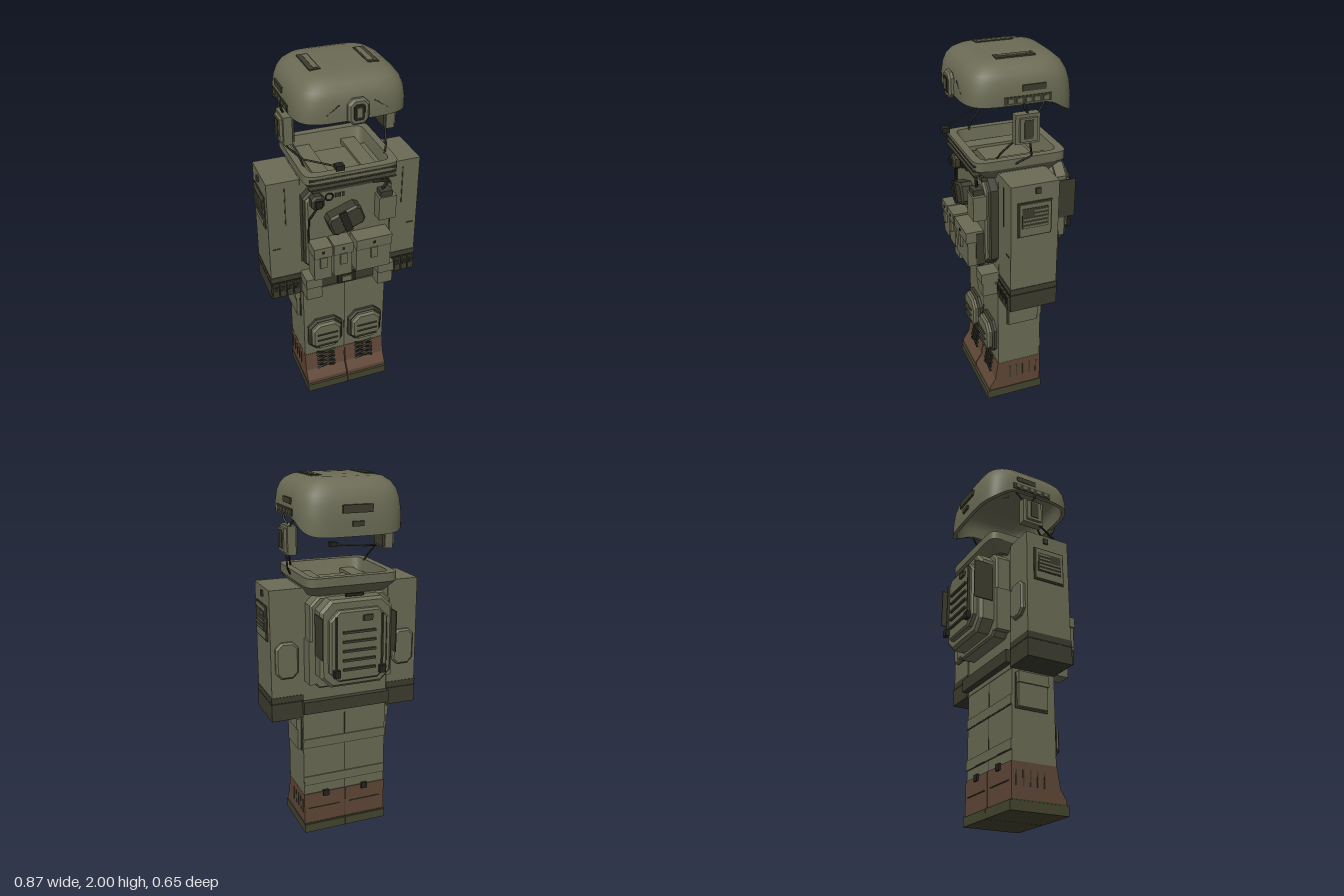
import * as THREE from 'three';
import { toCreasedNormals } from 'three/addons/utils/BufferGeometryUtils.js';

const mat = (name, color) => Object.assign(new THREE.MeshStandardMaterial({ color }), { name });
const olive = mat('olive cloth', 0x6b6b55);
const dark = mat('dark olive', 0x3c3c2e);
const black = mat('near black', 0x24241d);
const brown = mat('brown leather', 0x604737);
const sole = mat('sole olive', 0x45452f);

export function createModel() {
  const root = new THREE.Group();
  root.name = 'soldierOutfit';
  const add = (name, geo, m, parent = root) => {
    const mesh = new THREE.Mesh(geo, m);
    mesh.name = name;
    parent.add(mesh);
    return mesh;
  };
  // box given by its extents
  const box = (name, m, x0, x1, y0, y1, z0, z1) => {
    const b = add(name, new THREE.BoxGeometry(Math.abs(x1 - x0), y1 - y0, z1 - z0), m);
    b.position.set((x0 + x1) / 2, (y0 + y1) / 2, (z0 + z1) / 2);
    return b;
  };
  // plate with cut corners, tapering in toward its front (dir 1) or back (dir -1)
  const plate = (name, m, w, h, d, c, x, y, z, dir = 1, bevel = 0.01) => {
    const a = w / 2 - bevel, b = h / 2 - bevel;
    const s = new THREE.Shape([[a - c, -b], [a, -b + c], [a, b - c], [a - c, b], [c - a, b], [-a, b - c], [-a, c - b], [c - a, -b]]
      .map(p => new THREE.Vector2(...p)));
    const g = new THREE.ExtrudeGeometry(s, { depth: d - bevel, bevelSize: bevel, bevelThickness: bevel, bevelSegments: 1 });
    const p = add(name, g, m);
    p.position.set(x, y, z);
    if (dir < 0) p.rotation.y = Math.PI;
    return p;
  };
  // tube through points, straight pieces
  const wire = (name, pts, r = 0.005) => {
    const path = new THREE.CurvePath();
    const v = pts.map(p => new THREE.Vector3(...p));
    for (let i = 1; i < v.length; i++) path.add(new THREE.LineCurve3(v[i - 1], v[i]));
    return add(name, new THREE.TubeGeometry(path, 24, r, 6), black);
  };
  // loft of rounded-square rings; point(row, sx, sz) gives the position
  const loft = (rows, power, cols, point, crease) => {
    const pos = [], idx = [];
    const f = v => Math.sign(v) * Math.abs(v) ** (2 / power);
    rows.forEach((r, i) => {
      for (let j = 0; j < cols; j++) {
        const t = (j / cols) * Math.PI * 2;
        pos.push(...point(r, f(Math.sin(t)), f(Math.cos(t))));
        if (i === rows.length - 1) continue;
        const a = i * cols + j, b = i * cols + (j + 1) % cols;
        idx.push(a, a + cols, b, b, a + cols, b + cols);
      }
    });
    const g = new THREE.BufferGeometry();
    g.setAttribute('position', new THREE.Float32BufferAttribute(pos, 3));
    g.setIndex(idx);
    return toCreasedNormals(g, crease);
  };

  // helmet shell: outside from crown to rim, then inside back up
  const shell = [[0, 0], [0.3, 0], [0.58, 0.015], [0.72, 0.05], [0.84, 0.15], [0.92, 0.29], [0.97, 0.47], [1, 0.75], [1, 1],
    [0.93, 1], [0.92, 0.7], [0.86, 0.4], [0.7, 0.2], [0.4, 0.12], [0, 0.12]];
  add('helmetShell', loft(shell, 4.6, 64, ([s, t], sx, sz) => {
    const z = sz * 0.283 * s;
    const k = THREE.MathUtils.smoothstep(-sz, 0.35, 1.05);
    return [sx * 0.287 * s, 1.998 - t * (0.2 + 0.085 * k), z + 0.0125];
  }, 0.9), olive);
  // helmet fittings
  plate('goggleMount', olive, 0.105, 0.13, 0.025, 0.02, 0, 1.845, 0.293);
  plate('mountRecess', black, 0.055, 0.08, 0.006, 0.008, 0, 1.845, 0.315, 1, 0.002);
  box('mountLatch', olive, -0.014, 0.014, 1.82, 1.87, 0.318, 0.326);
  box('rearSlot', dark, -0.08, 0.08, 1.83, 1.87, -0.276, -0.26);
  box('rearClip', dark, -0.03, 0.03, 1.765, 1.79, -0.282, -0.262);
  for (const s of [-1, 1]) {
    box('ventPlate', dark, s * 0.118, s * 0.174, 1.985, 2.0, -0.08, 0.12);
    box('ventCover', olive, s * 0.126, s * 0.15, 1.99, 2.002, -0.065, 0.105);
    box('sideSlot', dark, s * 0.27, s * 0.288, 1.862, 1.892, -0.09, 0.03);
    box('sideRail', dark, s * 0.27, s * 0.291, 1.805, 1.842, -0.115, 0.125);
    for (let i = 0; i < 5; i++)
      box('railStud', olive, s * 0.28, s * 0.295, 1.813, 1.834, -0.1 + i * 0.045, -0.075 + i * 0.045);
    const crease = box('browCrease', dark, -0.04, 0.04, -0.003, 0.003, -0.005, 0.005);
    crease.position.set(s * 0.12, 1.86, 0.288);
    crease.rotation.z = -s * 0.6;

    // headset
    box('earCup', olive, s * 0.25, s * 0.295, 1.6, 1.75, -0.058, 0.068);
    box('earCupSeal', dark, s * 0.238, s * 0.25, 1.61, 1.74, -0.05, 0.06);
    box('earCupCap', olive, s * 0.295, s * 0.31, 1.615, 1.735, -0.04, 0.05);
    box('earCupStrip', dark, s * 0.31, s * 0.314, 1.63, 1.725, -0.018, 0.028);
    wire('headsetArm', [[s * 0.275, 1.75, 0], [s * 0.29, 1.78, 0.02], [s * 0.275, 1.84, 0.03]], 0.006);
    wire('rearArm', [[s * 0.28, 1.75, -0.055], [s * 0.27, 1.79, -0.09]]);
    wire('frontCable', [[s * 0.25, 1.6, 0.06], [s * 0.23, 1.54, 0.12], [s * 0.215, 1.5, 0.14]]);
  }
  wire('sideCable', [[0.29, 1.6, -0.01], [0.288, 1.53, -0.02], [0.25, 1.48, 0.05]]);
  wire('microphoneBoom', [[-0.29, 1.6, 0.05], [-0.24, 1.575, 0.18], [-0.11, 1.57, 0.29]]);
  box('microphone', black, -0.115, -0.072, 1.558, 1.584, 0.285, 0.325);

  // collar: flared open frame
  const collar = [[0.215, 0.205, 1.508], [0.252, 0.247, 1.508], [0.252, 0.247, 1.462], [0.215, 0.185, 1.405], [0.2, 0.17, 1.405], [0.215, 0.205, 1.508]];
  add('collarFrame', loft(collar, 11, 48, ([w, d, y], sx, sz) => [sx * w, y, sz * d + 0.013], 0.5), olive);
  for (const y of [1.435, 1.462, 1.487])
    box('collarGroove', dark, -0.23, 0.23, y - 0.004, y + 0.004, 0.225, 0.263);
  box('collarUnderStrip', dark, -0.2, 0.2, 1.385, 1.41, 0.18, 0.212);
  for (const s of [-1, 1]) box('shoulderStrap', olive, s * 0.09, s * 0.17, 1.43, 1.455, -0.17, 0.2);

  // torso and belt
  box('torso', olive, -0.245, 0.245, 0.72, 1.44, -0.11, 0.14);
  box('belt', dark, -0.25, 0.25, 0.745, 0.815, -0.145, 0.165);
  box('buckle', black, -0.052, 0.052, 0.75, 0.81, 0.165, 0.18);
  box('buckleFace', olive, -0.028, 0.028, 0.762, 0.798, 0.18, 0.187);

  // front vest
  plate('vestBorder', dark, 0.49, 0.51, 0.05, 0.05, 0, 1.147, 0.14);
  plate('vestPanel', olive, 0.472, 0.49, 0.062, 0.045, 0, 1.147, 0.145);
  for (const [x0, x1] of [[-0.225, -0.13], [-0.117, -0.017], [0.008, 0.202]]) {
    const c = (x0 + x1) / 2;
    box('magazinePouch', olive, x0, x1, 0.905, 1.1, 0.2, 0.295);
    box('pouchFlap', olive, x0 - 0.003, x1 + 0.003, 1.05, 1.108, 0.198, 0.304);
    box('flapShadow', dark, x0, x1, 1.042, 1.05, 0.2, 0.299);
    box('pouchTab', olive, c - 0.018, c + 0.018, 0.985, 1.05, 0.295, 0.309);
    box('pouchSnap', black, c - 0.006, c + 0.006, 1.075, 1.087, 0.304, 0.308);
    box('pouchDivider', dark, x1, x1 + 0.006, 0.91, 1.095, 0.2, 0.25);
  }
  const kit = plate('medicalPouch', dark, 0.19, 0.12, 0.075, 0.015, -0.037, 1.225, 0.2);
  kit.rotation.z = 0.35;
  const strap = box('medicalStrap', black, -0.02, 0.02, -0.062, 0.062, -0.004, 0.004);
  strap.position.set(-0.045, 1.228, 0.281);
  strap.rotation.z = 0.35;
  plate('talkButton', dark, 0.07, 0.08, 0.05, 0.012, -0.182, 1.345, 0.2);
  box('talkButtonFace', black, -0.2, -0.165, 1.33, 1.365, 0.255, 0.264);
  wire('talkCable', [[-0.18, 1.31, 0.23], [-0.225, 1.24, 0.22], [-0.23, 1.1, 0.215]]);
  const ring = add('carabiner', new THREE.TorusGeometry(0.02, 0.004, 6, 20), black);
  ring.position.set(-0.113, 1.352, 0.215);
  for (let i = 0; i < 3; i++)
    box('chestTape', dark, -0.08 + i * 0.018, -0.068 + i * 0.018, 1.342, 1.365, 0.21, 0.214);
  box('radioPouch', olive, 0.14, 0.235, 1.185, 1.32, 0.2, 0.27);
  box('radio', dark, 0.15, 0.215, 1.3, 1.35, 0.205, 0.262);
  wire('radioCable', [[0.17, 1.35, 0.23], [0.2, 1.4, 0.24], [0.12, 1.4, 0.22]], 0.008);

  for (const s of [-1, 1]) {
    // arm
    box('sleeve', olive, s * 0.246, s * 0.42, 0.85, 1.44, -0.115, 0.14);
    box('glove', dark, s * 0.246, s * 0.423, 0.72, 0.855, -0.118, 0.143);
    box('gloveCuff', black, s * 0.246, s * 0.424, 0.815, 0.823, -0.119, 0.146);
    for (let i = 0; i < 4; i++) {
      const x = 0.262 + i * 0.04;
      box('finger', dark, s * x, s * (x + 0.034), 0.728, 0.81, 0.14, 0.155);
      box('knuckle', black, s * (x + 0.006), s * (x + 0.028), 0.77, 0.8, 0.154, 0.158);
    }
    box('sleeveSeam', dark, s * 0.322, s * 0.328, 1.18, 1.4, 0.138, 0.143);
    box('sleeveFold', dark, s * 0.36, s * 0.4, 1.037, 1.043, 0.138, 0.143);
    box('patchFrame', dark, s * 0.42, s * 0.426, 1.16, 1.35, -0.075, 0.105);
    box('patch', olive, s * 0.42, s * 0.431, 1.168, 1.342, -0.067, 0.097);
    box('patchPanel', dark, s * 0.43, s * 0.434, 1.21, 1.32, -0.055, 0.085);
    for (let i = 0; i < 5; i++)
      box('patchStripe', olive, s * 0.432, s * 0.437, 1.216 + i * 0.021, 1.226 + i * 0.021, -0.05, i < 3 ? 0.08 : 0.02);
    box('shoulderSnap', dark, s * 0.42, s * 0.43, 1.39, 1.42, -0.015, 0.012);
    plate('elbowPad', olive, 0.125, 0.2, 0.025, 0.025, s * 0.335, 1.06, -0.112, -1);

    // hip and thigh pouches
    box('hipPouch', olive, s * 0.163, s * 0.25, 0.73, 0.845, 0.14, 0.232);
    box('hipPouchFlap', olive, s * 0.16, s * 0.253, 0.81, 0.868, 0.14, 0.24);
    box('thighPouch', olive, s * 0.245, s * 0.268, 0.515, 0.69, -0.08, 0.09);
    box('thighFlap', olive, s * 0.245, s * 0.276, 0.64, 0.7, -0.085, 0.095);
    box('thighOutline', dark, s * 0.24, s * 0.25, 0.507, 0.7, -0.089, 0.1);

    // knee pad
    plate('kneePadBase', dark, 0.205, 0.215, 0.03, 0.04, s * 0.122, 0.395, 0.14);
    plate('kneePad', olive, 0.178, 0.188, 0.045, 0.035, s * 0.122, 0.395, 0.15, 1, 0.012);
    for (let i = 0; i < 3; i++)
      box('kneeGroove', dark, s * 0.062, s * 0.182, 0.34 + i * 0.04, 0.344 + i * 0.04, 0.2, 0.209);

    // boot: side profile extruded across
    const profile = new THREE.Shape([[-0.112, 0.045], [0.2, 0.045], [0.2, 0.075], [0.165, 0.13], [0.147, 0.24], [-0.112, 0.24]]
      .map(p => new THREE.Vector2(...p)));
    const boot = add('boot', new THREE.ExtrudeGeometry(profile, { depth: 0.243, bevelEnabled: false }), brown);
    boot.rotation.y = -Math.PI / 2;
    boot.position.x = s > 0 ? 0.246 : -0.003;
    box('bootSole', sole, s * 0.001, s * 0.248, 0, 0.05, -0.122, 0.212);
    box('bootSeam', dark, s * 0.003, s * 0.249, 0.05, 0.056, -0.114, 0.2);
    for (let i = 0; i < 5; i++)
      box('bootSlit', dark, s * 0.24, s * 0.2485, 0.12, 0.2, -0.09 + i * 0.04, -0.082 + i * 0.04);
    for (let i = 0; i < 4; i++) for (const k of [-1, 1]) {
      const y = 0.132 + i * 0.028, z = 0.168 - i * 0.005;
      wire('lace', [[s * 0.12 - k * 0.055, y, z], [s * 0.12 + k * 0.055, y + 0.026, z - 0.004]], 0.006);
    }
    box('heelBuckle', black, s * 0.1, s * 0.135, 0.215, 0.25, -0.122, -0.105);
    box('heelPanel', dark, s * 0.03, s * 0.22, 0.145, 0.15, -0.116, -0.1);

    // leg
    box('leg', olive, s * 0.002, s * 0.245, 0.24, 0.722, -0.107, 0.145);
  }
  box('legSeamCore', dark, -0.003, 0.003, 0.05, 0.72, -0.108, 0.146);
  for (const y of [0.3, 0.53]) box('legBackBand', olive, -0.244, 0.244, y, y + 0.05, -0.113, -0.1);
  for (const y of [0.3, 0.53]) box('legBandShadow', dark, -0.244, 0.244, y - 0.005, y, -0.112, -0.1);

  // backpack, stepped layers
  plate('packBase', olive, 0.45, 0.5, 0.08, 0.04, 0, 1.155, -0.11, -1);
  plate('packBody', olive, 0.4, 0.47, 0.08, 0.05, 0, 1.165, -0.19, -1, 0.015);
  plate('packPanel', olive, 0.32, 0.38, 0.03, 0.045, 0, 1.16, -0.27, -1);
  for (let i = 0; i < 5; i++)
    box('packLouvre', dark, -0.09, 0.09, 1.03 + i * 0.05, 1.042 + i * 0.05, -0.313, -0.3);
  box('packHandle', black, -0.05, 0.05, 1.405, 1.42, -0.24, -0.225);
  box('packTag', dark, -0.07, -0.02, 1.29, 1.32, -0.313, -0.3);
  for (const s of [-1, 1]) {
    box('packBuckle', black, s * 0.11, s * 0.145, 1.0, 1.04, -0.323, -0.3);
    box('packStrap', dark, s * 0.123, s * 0.131, 1.04, 1.32, -0.313, -0.3);
    box('packSidePocket', olive, s * 0.2, s * 0.235, 0.93, 1.17, -0.19, -0.11);
    box('packSideRod', dark, s * 0.2, s * 0.206, 1.1, 1.32, -0.31, -0.2);
  }
  return root;
}
